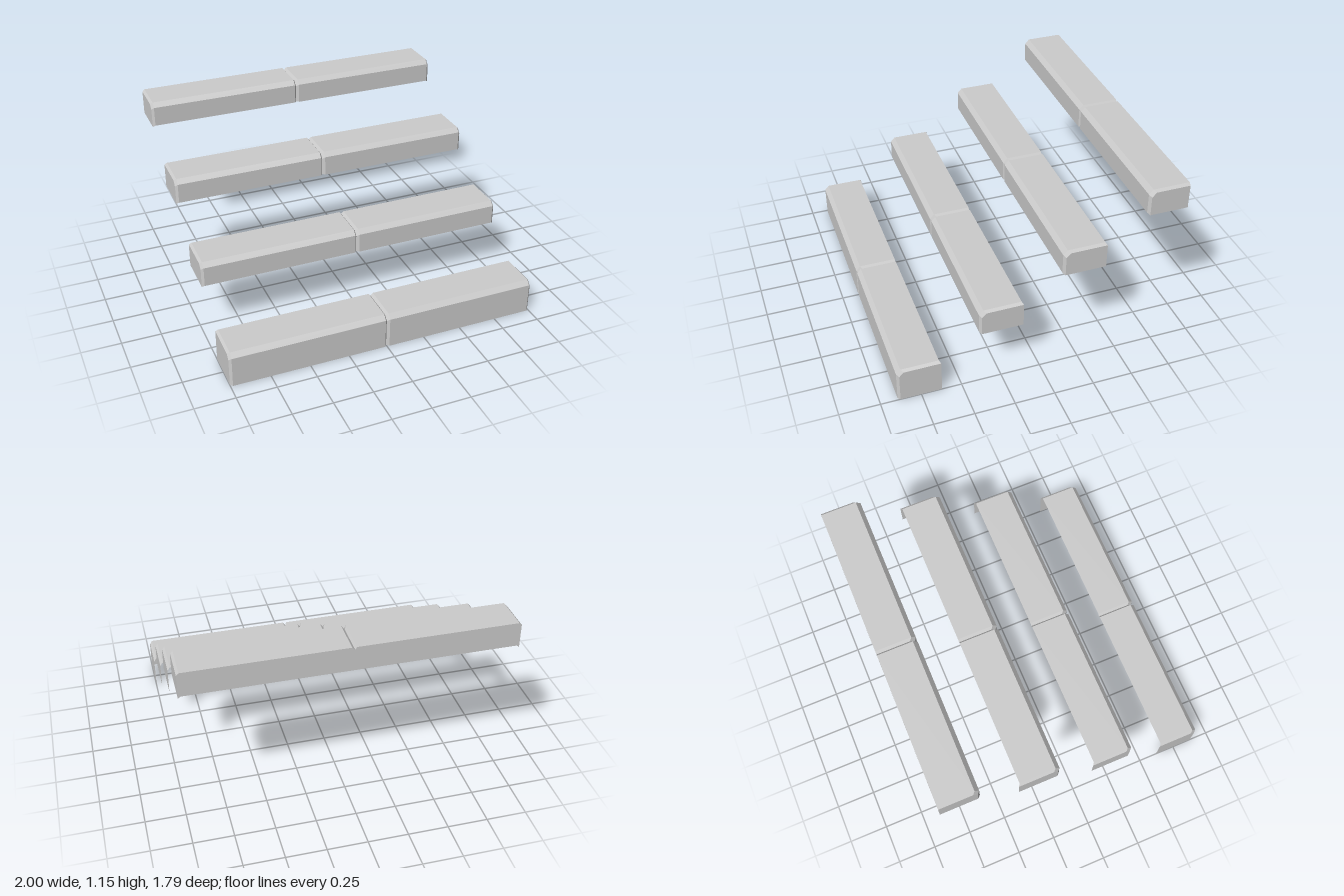
import * as THREE from 'three';

const CHAMFER = 0.015;

// Each step: front z, back z, top y, front bottom y, drop of the end panels, seam x
const STEPS = [
  { front: 0.893, back: 0.632, top: 0.225, bottom: 0, drop: 0, seam: 0 },
  { front: 0.384, back: 0.121, top: 0.533, bottom: 0.378, drop: 0.013, seam: 0.014 },
  { front: -0.127, back: -0.388, top: 0.841, bottom: 0.684, drop: 0.013, seam: -0.013 },
  { front: -0.638, back: -0.893, top: 1.147, bottom: 0.992, drop: 0.013, seam: 0, closed: true },
];

// Cross-section [z, y] from the front bottom, over the nosing, to the back
function section(s, inset, isEnd) {
  const front = s.front - inset;
  const top = s.top - inset;
  const bottom = s.bottom - (isEnd ? s.drop : 0);
  const back = s.back - (isEnd && !s.closed ? 0.01 : 0);
  const points = [
    [front, bottom],
    [front, top - 0.029],
    [front - 0.027, top],
    [back, top],
  ];
  if (s.closed || isEnd) points.push([back, bottom]);
  return points;
}

// Open stone shell: sections lofted along x, closed by a panel at the outer end
function blockGeometry(s, side) {
  const full = section(s, 0, false);
  const seam = section(s, CHAMFER, false);
  const end = section(s, CHAMFER, true);
  const seamGap = side > 0 ? 0.016 : 0.012;
  const stations = [
    [s.seam, seam],
    [s.seam + side * seamGap, full],
    [side * (1 - CHAMFER), full],
    [side, end],
  ];
  if (side < 0) stations.reverse();

  const positions = [];
  const add = (x, p) => positions.push(x, p[1], p[0]);
  for (let j = 0; j < stations.length - 1; j++) {
    const [x1, a] = stations[j];
    const [x2, b] = stations[j + 1];
    for (let i = 0; i < full.length - 1; i++) {
      add(x1, a[i]); add(x2, b[i]); add(x2, b[i + 1]);
      add(x1, a[i]); add(x2, b[i + 1]); add(x1, a[i + 1]);
    }
  }
  // End panel as a fan
  for (let i = 1; i < end.length - 1; i++) {
    add(side, end[0]);
    add(side, end[side > 0 ? i + 1 : i]);
    add(side, end[side > 0 ? i : i + 1]);
  }
  const geometry = new THREE.BufferGeometry();
  geometry.setAttribute('position', new THREE.Float32BufferAttribute(positions, 3));
  geometry.computeVertexNormals();
  return geometry;
}

export function createModel() {
  const model = new THREE.Group();
  model.name = 'stoneSteps';
  const material = new THREE.MeshStandardMaterial({
    color: 0xcccccc, flatShading: true, side: THREE.DoubleSide,
  });

  STEPS.forEach((s, i) => {
    const step = new THREE.Group();
    step.name = `step${i + 1}`;
    for (const side of [-1, 1]) {
      const block = new THREE.Mesh(blockGeometry(s, side), material);
      block.name = side > 0 ? 'leftBlock' : 'rightBlock';
      step.add(block);
    }
    model.add(step);
  });
  return model;
}
